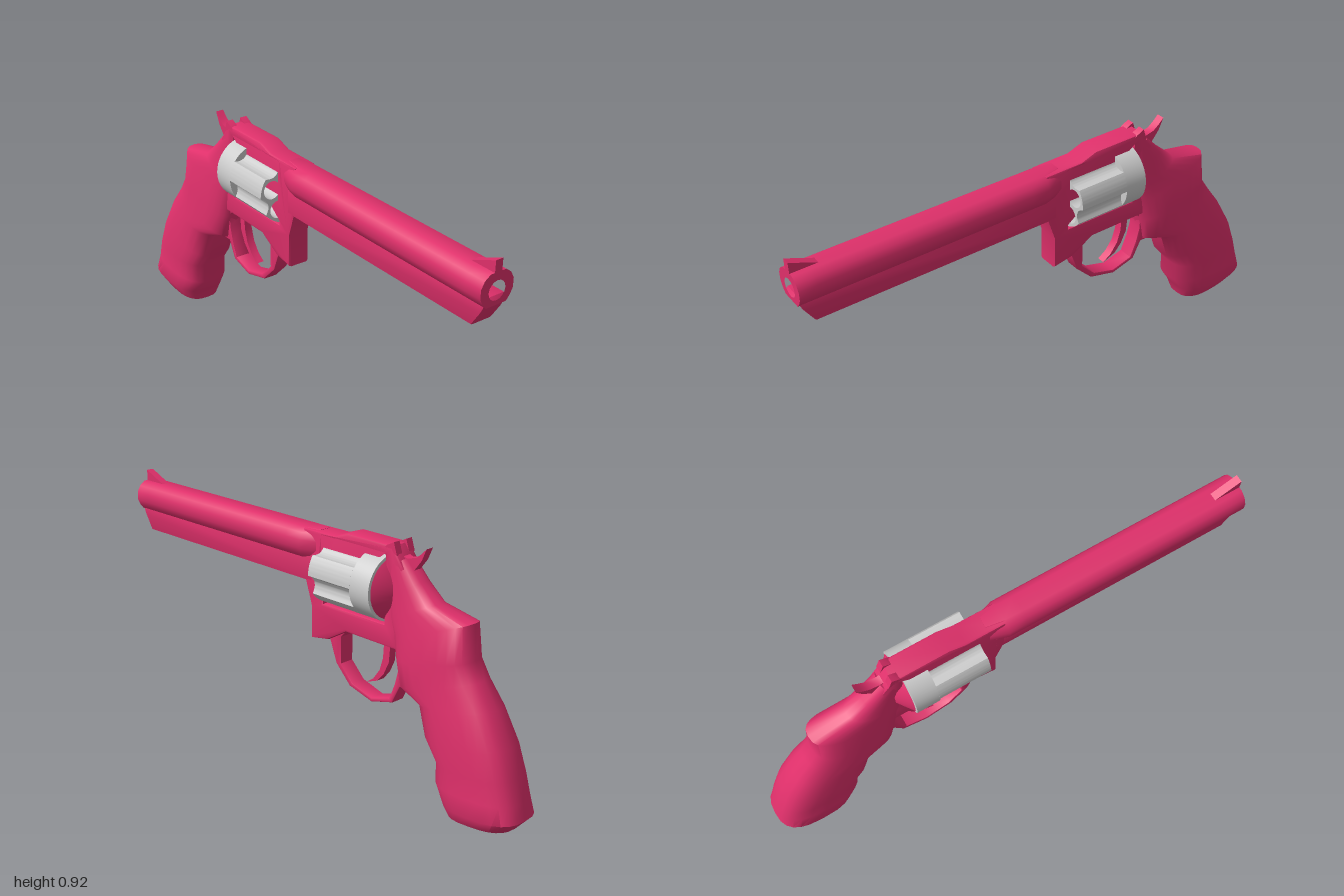
import * as THREE from 'three';
import { toCreasedNormals } from 'three/addons/utils/BufferGeometryUtils.js';

const pink = new THREE.MeshStandardMaterial({ color: 0xe0306b });
const grey = new THREE.MeshStandardMaterial({ color: 0xcccccc });

const toPoints = (pts) => pts.map(([x, y]) => new THREE.Vector2(x, y));

function part(name, geometry, material = pink, crease = 0.7) {
  const mesh = new THREE.Mesh(toCreasedNormals(geometry, crease), material);
  mesh.name = name;
  return mesh;
}

// Side profile extruded symmetrically about z = 0
function plate(name, outline, halfWidth, bevel = 0, hole = null) {
  const shape = new THREE.Shape(toPoints(outline));
  if (hole) shape.holes.push(new THREE.Path(toPoints(hole)));
  const depth = 2 * (halfWidth - bevel);
  const geo = new THREE.ExtrudeGeometry(shape, {
    depth, bevelEnabled: bevel > 0, bevelSize: bevel, bevelThickness: bevel,
    bevelOffset: -bevel, bevelSegments: 2,
  });
  geo.translate(0, 0, -depth / 2);
  return part(name, geo);
}

// Stations [frontX, frontY, backX, backY, halfWidth] joined by rounded sections
function loft(stations, n = 24, power = 0.72) {
  const pos = [], idx = [];
  const bend = (v) => Math.sign(v) * Math.abs(v) ** power;
  for (const [fx, fy, bx, by, w] of stations) {
    for (let j = 0; j < n; j++) {
      const a = (j / n) * Math.PI * 2, c = bend(Math.cos(a)) / 2;
      pos.push((fx + bx) / 2 + (fx - bx) * c, (fy + by) / 2 + (fy - by) * c, w * bend(Math.sin(a)));
    }
  }
  const last = stations.length - 1;
  for (const i of [0, last]) {
    const [fx, fy, bx, by] = stations[i];
    pos.push((fx + bx) / 2, (fy + by) / 2, 0);
  }
  const base = stations.length * n;
  for (let j = 0; j < n; j++) {
    const k = (j + 1) % n;
    for (let i = 0; i < last; i++) {
      const a = i * n + j, b = i * n + k;
      idx.push(a, a + n, b, b, a + n, b + n);
    }
    idx.push(base, j, k, base + 1, last * n + k, last * n + j);
  }
  const geo = new THREE.BufferGeometry();
  geo.setAttribute('position', new THREE.Float32BufferAttribute(pos, 3));
  geo.setIndex(idx);
  return geo;
}

// Barrel tube with a bore, narrowing where it meets the frame
function barrelTube() {
  const half = [[0.032, 0.877], [0.055, 0.86], [0.068, 0.835], [0.068, 0.802], [0.056, 0.778], [0.042, 0.762]];
  const outline = [...half, ...half.map(([z, y]) => [-z, y]).reverse()];
  const shape = new THREE.Shape(toPoints(outline));
  const bore = new THREE.Path();
  bore.absarc(0, 0.813, 0.035, 0, Math.PI * 2, true);
  shape.holes.push(bore);
  const geo = new THREE.ExtrudeGeometry(shape, { depth: 1.05, steps: 15, bevelEnabled: false, curveSegments: 8 });
  geo.rotateY(Math.PI / 2).translate(-0.05, 0, 0);
  const p = geo.attributes.position;
  for (let i = 0; i < p.count; i++) if (p.getX(i) < -0.03) p.setZ(i, p.getZ(i) * 0.65);
  return part('barrel', geo);
}

// Five-chamber cylinder: fluted front, plain rear
function chamberCylinder() {
  const group = new THREE.Group();
  group.name = 'cylinder';
  const R = 0.122, outline = [];
  for (let i = 0; i < 120; i++) {
    const a = (i / 120) * Math.PI * 2;
    const step = (Math.PI * 2) / 5;
    let d = a - Math.PI * 0.3;
    d -= Math.round(d / step) * step;
    // Distance to the flute circle centred just outside the rim
    const c = 0.135, f = 0.04, under = f * f - (c * Math.sin(d)) ** 2;
    const r = under > 0 ? Math.min(R, c * Math.cos(d) - Math.sqrt(under)) : R;
    outline.push([r * Math.cos(a), r * Math.sin(a)]);
  }
  const shape = new THREE.Shape(toPoints(outline));
  for (let i = 0; i < 5; i++) {
    const a = Math.PI / 2 + (i * Math.PI * 2) / 5, hole = new THREE.Path();
    hole.absarc(0.075 * Math.cos(a), 0.075 * Math.sin(a), 0.036, 0, Math.PI * 2, true);
    shape.holes.push(hole);
  }
  const front = new THREE.ExtrudeGeometry(shape, { depth: 0.205, bevelEnabled: false, curveSegments: 10 });
  front.rotateY(Math.PI / 2).translate(-0.292, 0.735, 0);
  const rear = new THREE.CylinderGeometry(R, R, 0.09, 40);
  rear.rotateZ(Math.PI / 2).translate(-0.337, 0.735, 0);
  group.add(part('flutedFront', front, grey, 0.5), part('cylinderRear', rear, grey, 0.5));
  return group;
}

export function createModel() {
  const model = new THREE.Group();
  model.name = 'revolver';

  // Grip sweeping up into the rear of the frame
  model.add(part('grip', loft([
    [-0.70, 0.0, -0.96, 0.025, 0.085],
    [-0.685, 0.05, -1.0, 0.07, 0.113],
    [-0.645, 0.11, -0.985, 0.13, 0.105],
    [-0.645, 0.19, -0.96, 0.21, 0.105],
    [-0.59, 0.26, -0.925, 0.31, 0.103],
    [-0.555, 0.37, -0.86, 0.425, 0.094],
    [-0.46, 0.40, -0.80, 0.51, 0.085],
    [-0.44, 0.50, -0.76, 0.57, 0.086],
    [-0.42, 0.58, -0.75, 0.70, 0.072],
    [-0.40, 0.64, -0.60, 0.73, 0.06],
    [-0.395, 0.72, -0.53, 0.79, 0.052],
    [-0.39, 0.82, -0.46, 0.86, 0.045],
  ]), pink, 0.9));

  // Frame with the cylinder window
  model.add(plate('frame', [
    [-0.45, 0.53], [-0.2, 0.53], [-0.165, 0.51], [-0.105, 0.475], [-0.02, 0.46], [-0.02, 0.59],
    [0.01, 0.68], [0.02, 0.72], [0.02, 0.875], [-0.14, 0.877], [-0.205, 0.90], [-0.42, 0.90],
    [-0.47, 0.83], [-0.47, 0.60],
  ], 0.045, 0.01, [[-0.385, 0.61], [-0.385, 0.86], [-0.085, 0.86], [-0.085, 0.61]]));

  // Recoil shield flaring out behind the cylinder
  const shield = new THREE.CylinderGeometry(0.055, 0.113, 0.045, 32);
  shield.rotateZ(Math.PI / 2).translate(-0.407, 0.735, 0);
  model.add(part('recoilShield', shield));

  model.add(chamberCylinder(), barrelTube());
  model.add(plate('barrelUnderlug', [
    [-0.03, 0.68], [0.945, 0.68], [0.98, 0.735], [1.0, 0.775], [0.99, 0.79], [-0.03, 0.79],
  ], 0.045, 0.006));

  // Sights
  model.add(plate('frontSight', [[0.88, 0.87], [1.0, 0.87], [1.0, 0.92]], 0.015));
  for (const side of [-1, 1]) {
    const blade = plate('rearSight', [[-0.44, 0.87], [-0.385, 0.89], [-0.395, 0.90], [-0.425, 0.915]], 0.014);
    blade.position.z = side * 0.031;
    model.add(blade);
  }

  // Hammer with its curved spur
  model.add(plate('hammer', [
    [-0.545, 0.91], [-0.525, 0.865], [-0.49, 0.82], [-0.43, 0.82], [-0.43, 0.87], [-0.46, 0.86],
    [-0.50, 0.87], [-0.525, 0.89],
  ], 0.016));

  // Trigger guard and trigger
  model.add(plate('triggerGuard', [
    [-0.47, 0.56], [-0.49, 0.39], [-0.455, 0.39], [-0.42, 0.32], [-0.32, 0.292], [-0.21, 0.32],
    [-0.14, 0.39], [-0.105, 0.48], [-0.105, 0.56],
  ], 0.031, 0.005, [
    [-0.42, 0.535], [-0.2, 0.535], [-0.165, 0.50], [-0.165, 0.395], [-0.225, 0.335], [-0.32, 0.308],
    [-0.405, 0.332], [-0.43, 0.395], [-0.445, 0.455], [-0.445, 0.505],
  ]));
  model.add(plate('trigger', [
    [-0.395, 0.55], [-0.388, 0.46], [-0.365, 0.41], [-0.335, 0.375], [-0.28, 0.353],
    [-0.315, 0.378], [-0.345, 0.42], [-0.36, 0.47], [-0.365, 0.55],
  ], 0.016));

  return model;
}
